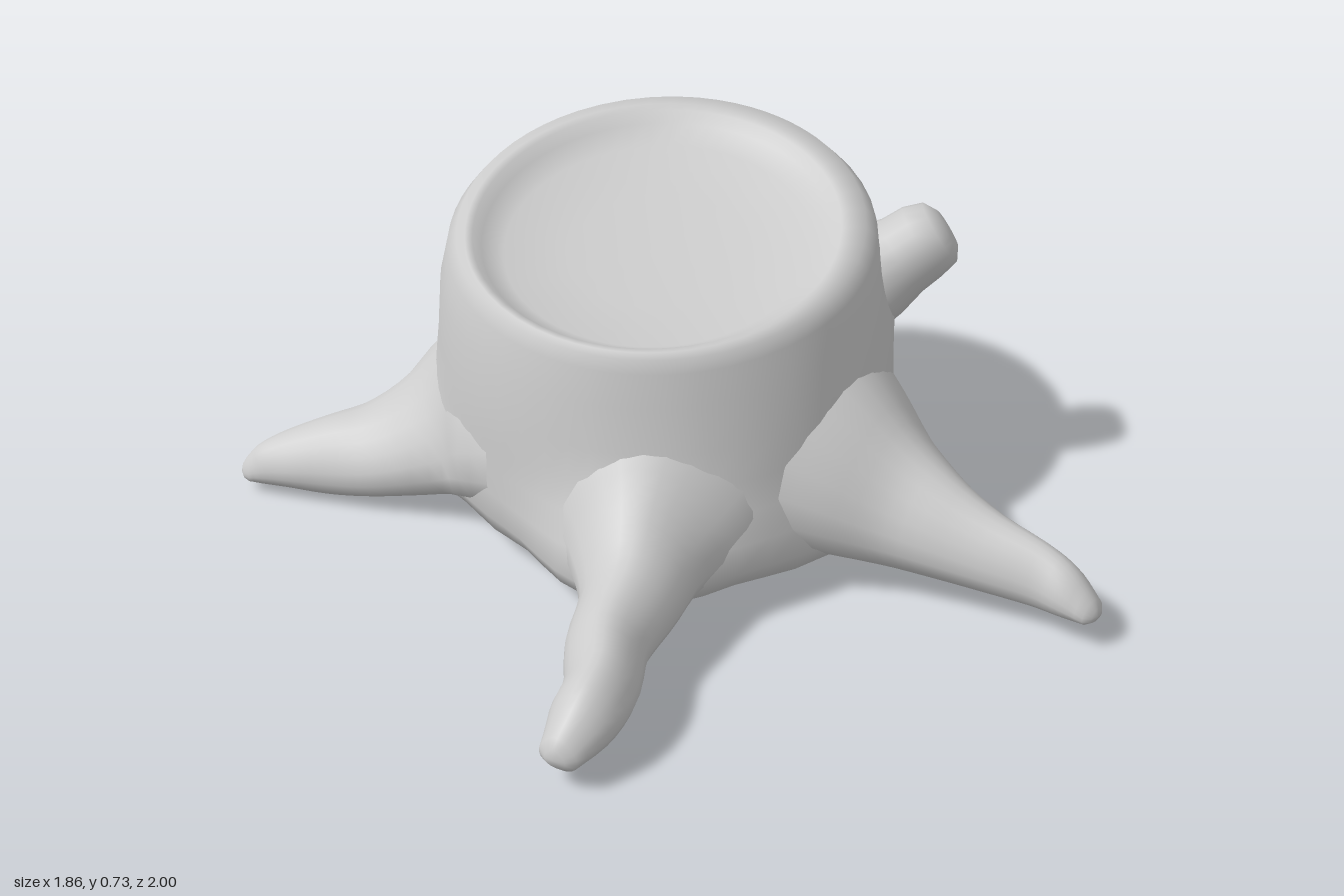
import * as THREE from 'three';
import { mergeVertices } from 'three/addons/utils/BufferGeometryUtils.js';

const material = new THREE.MeshStandardMaterial({ color: 0xcccccc });
const V = (x, y, z) => new THREE.Vector3(x, y, z);

// Skin a list of closed rings (equal point counts) into one smooth surface.
function loft(name, rings) {
  const n = rings[0].length, pos = [], idx = [];
  rings.forEach(r => r.forEach(p => pos.push(p.x, p.y, p.z)));
  for (let i = 0; i < rings.length - 1; i++) {
    for (let j = 0; j < n; j++) {
      const a = i * n + j, b = i * n + (j + 1) % n;
      idx.push(a, a + n, b, b, a + n, b + n);
    }
  }
  let geo = new THREE.BufferGeometry();
  geo.setAttribute('position', new THREE.Float32BufferAttribute(pos, 3));
  geo.setIndex(idx);
  geo = mergeVertices(geo, 1e-4);
  geo.computeVertexNormals();
  const mesh = new THREE.Mesh(geo, material);
  mesh.name = name;
  return mesh;
}

// Height of the slanted cut at depth z.
const cutHeight = z => 0.625 - 0.235 * z + 0.03 * Math.max(0, z - 0.1);

function trunk() {
  // Ground outline between the roots, as x, z pairs.
  const outline = [[0.5, 0.05], [0.46, 0.22], [0.35, 0.32], [0.13, 0.48], [0, 0.52], [-0.11, 0.5],
    [-0.28, 0.35], [-0.44, 0.2], [-0.54, 0.07], [-0.55, -0.12], [-0.46, -0.3], [-0.35, -0.45],
    [-0.12, -0.54], [0.1, -0.58], [0.27, -0.55], [0.35, -0.42], [0.44, -0.2]];
  const base = new THREE.CatmullRomCurve3(outline.map(([x, z]) => V(x, 0, z)), true).getPoints(64).slice(0, 64);
  // height fraction, blend from outline to circle, circle radius, outline scale, centre x, centre z, sink
  const levels = [
    [0, 0, 0.4, 0, 0, 0, 0], [0, 0, 0.4, 0.86, 0, 0, 0], [0.03, 0, 0.4, 0.95, 0, 0, 0], [0.12, 0, 0.5, 1, 0, 0, 0],
    [0.24, 0.2, 0.5, 0.99, -0.02, -0.06, 0], [0.36, 0.55, 0.49, 0.98, -0.02, -0.07, 0],
    [0.48, 0.85, 0.488, 0.97, -0.02, -0.075, 0], [0.62, 1, 0.485, 1, -0.02, -0.08, 0],
    [0.8, 1, 0.468, 1, -0.03, -0.085, 0], [0.93, 1, 0.45, 1, -0.03, -0.085, 0],
    [0.985, 1, 0.427, 1, -0.03, -0.07, 0], [1, 1, 0.4, 1, -0.035, -0.055, 0],
    // rim and shallow dished cut
    [1, 1, 0.383, 1, -0.035, -0.05, 0], [1, 1, 0.365, 1, -0.035, -0.05, 0.02],
    [1, 1, 0.32, 1, -0.035, -0.05, 0.045], [1, 1, 0.18, 1, -0.035, -0.05, 0.06],
    [1, 1, 0, 1, -0.035, -0.05, 0.065]];
  return loft('trunk', levels.map(([f, blend, r, scale, cx, cz, sink]) => base.map(p => {
    const a = Math.atan2(p.z + 0.05, p.x + 0.03);
    const x = THREE.MathUtils.lerp(p.x * scale, cx + r * Math.cos(a), blend);
    const z = THREE.MathUtils.lerp(p.z * scale, cz + r * Math.sin(a), blend);
    const wave = (1 - Math.min(1, f * 5)) * 0.006 * Math.sin(a * 13);
    return V(x, THREE.MathUtils.lerp(0.05, cutHeight(z), f) - sink + wave, z);
  })));
}

// Tapered limb through keys of [x, z, half width, bottom y, top y].
function root(name, keys) {
  const path = new THREE.CatmullRomCurve3(keys.map(([x, z, , lo, hi]) => V(x, (lo + hi) / 2, z)), false, 'catmullrom');
  const size = new THREE.CatmullRomCurve3(keys.map(([, , w, lo, hi]) => V(w, (hi - lo) / 2, 0)), false, 'catmullrom');
  const rings = [], steps = 24, sides = 20;
  for (let i = 0; i <= steps; i++) {
    const c = path.getPoint(i / steps), s = size.getPoint(i / steps);
    const d = path.getTangent(i / steps).setY(0).normalize();
    const side = d.clone().cross(V(0, 1, 0));
    rings.push(Array.from({ length: sides }, (_, j) => {
      const a = j / sides * Math.PI * 2;
      return c.clone().addScaledVector(side, s.x * Math.cos(a) * (1 - 0.28 * Math.sin(a)))
        .add(V(0, s.y * Math.sin(a), 0));
    }));
  }
  // rounded tip
  const end = path.getPoint(1), last = rings[steps];
  rings.push(last.map(p => p.clone().lerp(end, 0.45).addScaledVector(path.getTangent(1), 0.012)));
  rings.push(last.map(() => end.clone().addScaledVector(path.getTangent(1), 0.016)));
  return loft(name, rings);
}

// Short cut-off branch stub leaning out and up.
function branchStub() {
  const keys = [[0.34, 0.46, -0.16, 0.13], [0.42, 0.5, -0.175, 0.105], [0.47, 0.535, -0.185, 0.088],
    [0.51, 0.565, -0.195, 0.084], [0.545, 0.585, -0.205, 0.072], [0.56, 0.592, -0.21, 0.045], [0.563, 0.594, -0.211, 0]];
  const d = V(0.82, 0.55, -0.15).normalize();
  const side = d.clone().cross(V(0, 1, 0)).normalize(), up = side.clone().cross(d);
  return loft('branchStub', keys.map(([x, y, z, r]) => Array.from({ length: 18 }, (_, j) => {
    const a = j / 18 * Math.PI * 2;
    return V(x, y, z).addScaledVector(side, r * Math.cos(a)).addScaledVector(up, r * Math.sin(a));
  })));
}

export function createModel() {
  const group = new THREE.Group();
  group.name = 'treeStump';
  group.add(trunk(), branchStub());
  group.add(root('frontRoot', [[0.01, 0.26, 0.3, 0.05, 0.5], [0.01, 0.38, 0.22, 0.05, 0.38], [0.01, 0.47, 0.14, 0.05, 0.29],
    [0.01, 0.57, 0.1, 0.05, 0.225], [-0.01, 0.7, 0.08, 0.05, 0.195], [0, 0.82, 0.07, 0.05, 0.185],
    [-0.02, 0.91, 0.065, 0.045, 0.165], [-0.05, 0.984, 0.04, 0.04, 0.11]]));
  group.add(root('leftRoot', [[0.3, 0.08, 0.3, 0.05, 0.5], [0.42, 0.14, 0.22, 0.045, 0.4], [0.52, 0.19, 0.15, 0.04, 0.305],
    [0.61, 0.24, 0.105, 0.04, 0.25], [0.7, 0.285, 0.075, 0.04, 0.21], [0.8, 0.33, 0.055, 0.04, 0.18],
    [0.86, 0.365, 0.05, 0.045, 0.15], [0.905, 0.395, 0.035, 0.05, 0.1]]));
  group.add(root('rightRoot', [[-0.36, 0, 0.3, 0.04, 0.48], [-0.47, 0.01, 0.22, 0.03, 0.37], [-0.56, 0.035, 0.16, 0.015, 0.265],
    [-0.65, 0.055, 0.125, 0.005, 0.2], [-0.74, 0.07, 0.095, 0, 0.17], [-0.83, 0.085, 0.07, 0.01, 0.135],
    [-0.89, 0.1, 0.045, 0.015, 0.105], [-0.92, 0.11, 0.028, 0.02, 0.075]]));
  group.add(root('backRoot', [[0.08, -0.4, 0.28, 0.06, 0.52], [0.1, -0.5, 0.22, 0.06, 0.46], [0.11, -0.58, 0.165, 0.06, 0.365],
    [0.125, -0.66, 0.12, 0.06, 0.3], [0.135, -0.76, 0.095, 0.065, 0.235], [0.15, -0.86, 0.07, 0.065, 0.185],
    [0.165, -0.94, 0.055, 0.065, 0.155], [0.178, -0.984, 0.04, 0.07, 0.14]]));
  return group;
}
